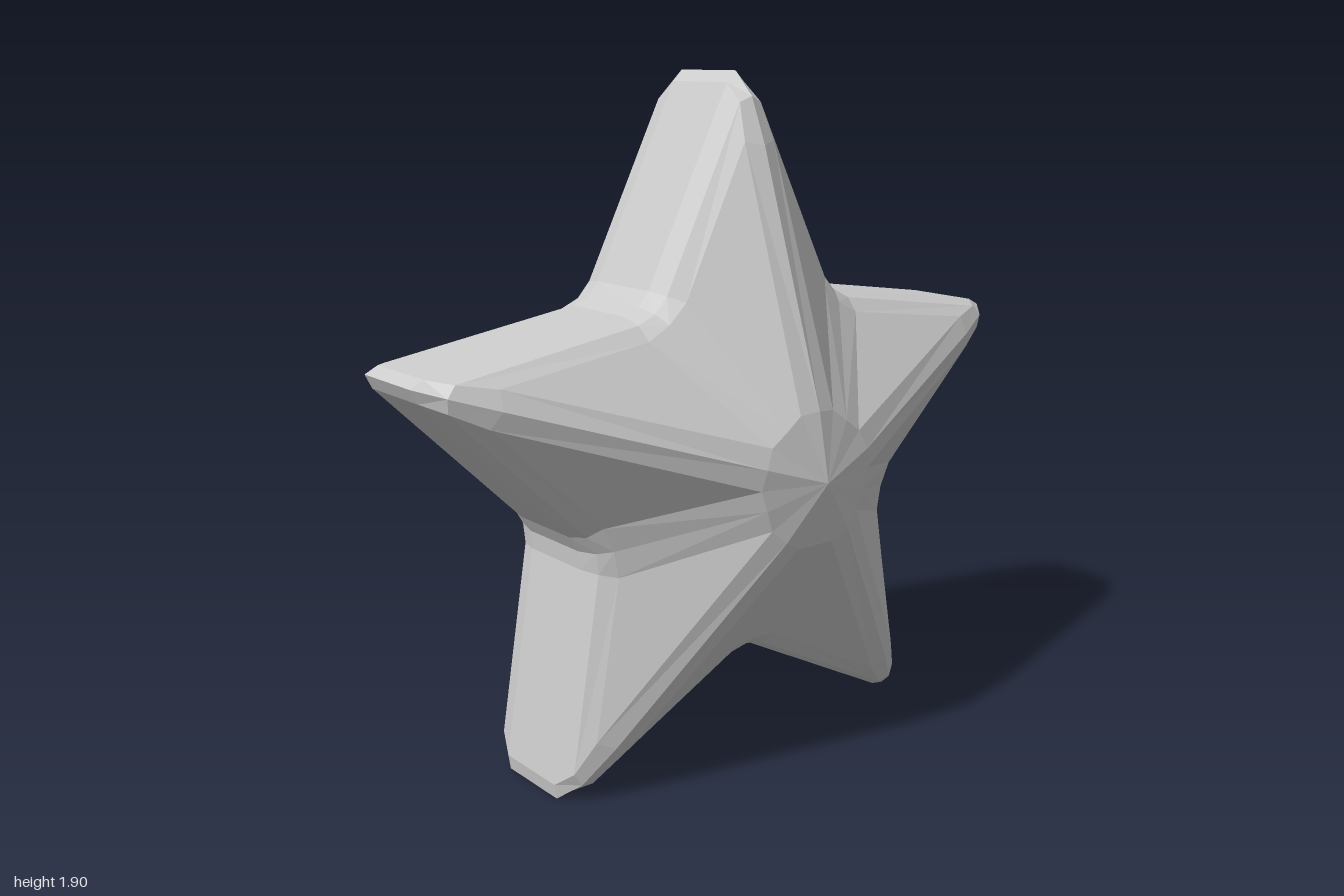
import * as THREE from 'three';

const CENTRE_Y = 0.85;
const APEX_Z = 0.497;

// Contours from the rim inward. Each entry is [distance along its axis, sideways offset, z]:
// tip and shoulder are measured along the arm, flank and notch along the gap between arms.
const CONTOURS = [
  { tip: [1.05, 0, 0.115], shoulder: [1.02, 0.03, 0.115], flank: [0.57, 0.05, 0.115], notch: [0.558, 0, 0.115] },
  { tip: [0.985, 0, 0.182], shoulder: [0.97, 0.036, 0.175], flank: [0.555, 0.057, 0.175], notch: [0.543, 0, 0.175] },
  { tip: [0.86, 0, 0.235], shoulder: [0.87, 0.05, 0.213], flank: [0.522, 0.075, 0.213], notch: [0.512, 0, 0.213] },
  { tip: [0.187, 0, 0.46], shoulder: [0.181, 0.057, 0.45], flank: [0.18, 0.06, 0.45], notch: [0.18, 0, 0.452] },
];

// Five-fold closed contour, counter-clockwise seen from the front
function contourRing(c, side) {
  const ring = [];
  const add = (angle, [along, off, z], sign) => ring.push(new THREE.Vector3(
    along * Math.cos(angle) - sign * off * Math.sin(angle),
    CENTRE_Y + along * Math.sin(angle) + sign * off * Math.cos(angle),
    z * side,
  ));
  for (let arm = 0; arm < 5; arm++) {
    const a = Math.PI / 2 + arm * Math.PI * 0.4;
    const gap = a + Math.PI / 5;
    add(a, c.shoulder, -1);
    add(a, c.tip, 1);
    add(a, c.shoulder, 1);
    add(gap, c.flank, -1);
    add(gap, c.notch, 1);
    add(gap, c.flank, 1);
  }
  return ring;
}

function starGeometry() {
  // Loft from the back apex, round the rim, to the front apex
  const back = CONTOURS.map((c) => contourRing(c, -1)).reverse();
  const front = CONTOURS.map((c) => contourRing(c, 1));
  const apexRing = (z) => back[0].map(() => new THREE.Vector3(0, CENTRE_Y, z));
  const rings = [apexRing(-APEX_Z), ...back, ...front, apexRing(APEX_Z)];

  const pos = [];
  const triangle = (a, b, c) => {
    const area = b.clone().sub(a).cross(c.clone().sub(a)).length();
    if (area > 1e-5) for (const p of [a, b, c]) pos.push(p.x, p.y, p.z);
  };
  for (let j = 0; j < rings.length - 1; j++) {
    const n = rings[j].length;
    for (let i = 0; i < n; i++) {
      const k = (i + 1) % n;
      const [a, b, c, d] = [rings[j][i], rings[j][k], rings[j + 1][k], rings[j + 1][i]];
      // Mirror the diagonal so both sides of each arm match
      if (i % 6 === 0 || i % 6 === 2 || i % 6 === 3) {
        triangle(a, b, c);
        triangle(a, c, d);
      } else {
        triangle(a, b, d);
        triangle(b, c, d);
      }
    }
  }
  const geo = new THREE.BufferGeometry();
  geo.setAttribute('position', new THREE.Float32BufferAttribute(pos, 3));
  geo.computeVertexNormals();
  return geo;
}

export function createModel() {
  const group = new THREE.Group();
  group.name = 'star';
  const material = new THREE.MeshStandardMaterial({ color: 0xcccccc, flatShading: true });
  const body = new THREE.Mesh(starGeometry(), material);
  body.name = 'starBody';
  group.add(body);
  return group;
}
